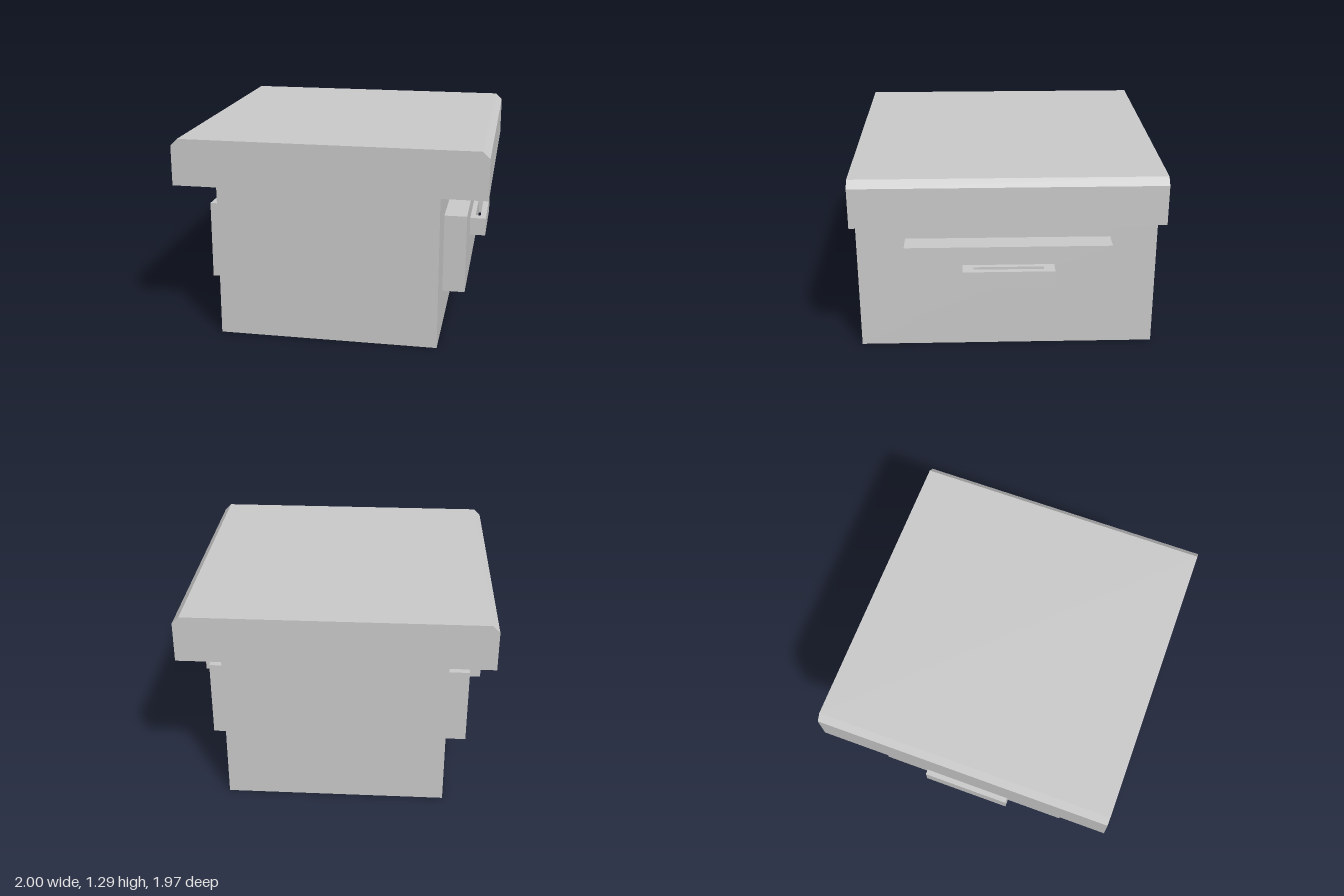
import * as THREE from 'three';

const grey = new THREE.MeshStandardMaterial({ color: 0xcccccc, flatShading: true });

function mesh(name, geometry) {
  const m = new THREE.Mesh(geometry, grey);
  m.name = name;
  return m;
}

const outline = (points) => new THREE.Shape(points.map(([x, y]) => new THREE.Vector2(x, y)));

// Drawer front with its slotted pull, facing +x
function createDrawer() {
  const drawer = new THREE.Group();

  const panel = mesh('drawerFront', new THREE.BoxGeometry(0.17, 0.52, 1.34));
  panel.position.set(0.775, 0.525, 0);

  // Pull: bar with a slot running through it vertically
  const x0 = 0.855, x1 = 0.965, half = 0.295;
  const bar = outline([[x0, -half], [x1, -half], [x1, half], [x0, half]]);
  const mid = (x0 + x1) / 2, w = 0.017, l = 0.225;
  bar.holes.push(outline([[mid - w, -l], [mid - w, l], [mid + w, l], [mid + w, -l]]));
  const pullGeometry = new THREE.ExtrudeGeometry(bar, { depth: 0.12, bevelEnabled: false });
  pullGeometry.rotateX(-Math.PI / 2);
  const pull = mesh('drawerPull', pullGeometry);
  pull.position.y = 0.54;

  drawer.add(panel, pull);
  return drawer;
}

export function createModel() {
  const model = new THREE.Group();
  model.name = 'deskCabinet';

  // Cabinet and overhanging top with chamfered side edges, one cross-section along z
  const depth = 1.97;
  const half = [[0.71, 0], [0.71, 0.99], [1, 0.99], [1, 1.25], [0.955, 1.295]];
  const mirrored = half.map(([x, y]) => [-x, y]).reverse();
  const bodyGeometry = new THREE.ExtrudeGeometry(outline([...half, ...mirrored]), { depth, bevelEnabled: false });
  bodyGeometry.translate(0, 0, -depth / 2);
  model.add(mesh('cabinetAndTop', bodyGeometry));

  // One drawer on each side
  for (const side of [1, -1]) {
    const drawer = createDrawer();
    drawer.name = side > 0 ? 'leftDrawer' : 'rightDrawer';
    drawer.rotation.y = side > 0 ? 0 : Math.PI;
    drawer.position.set(-0.004, 0, -0.005);
    model.add(drawer);
  }
  return model;
}
